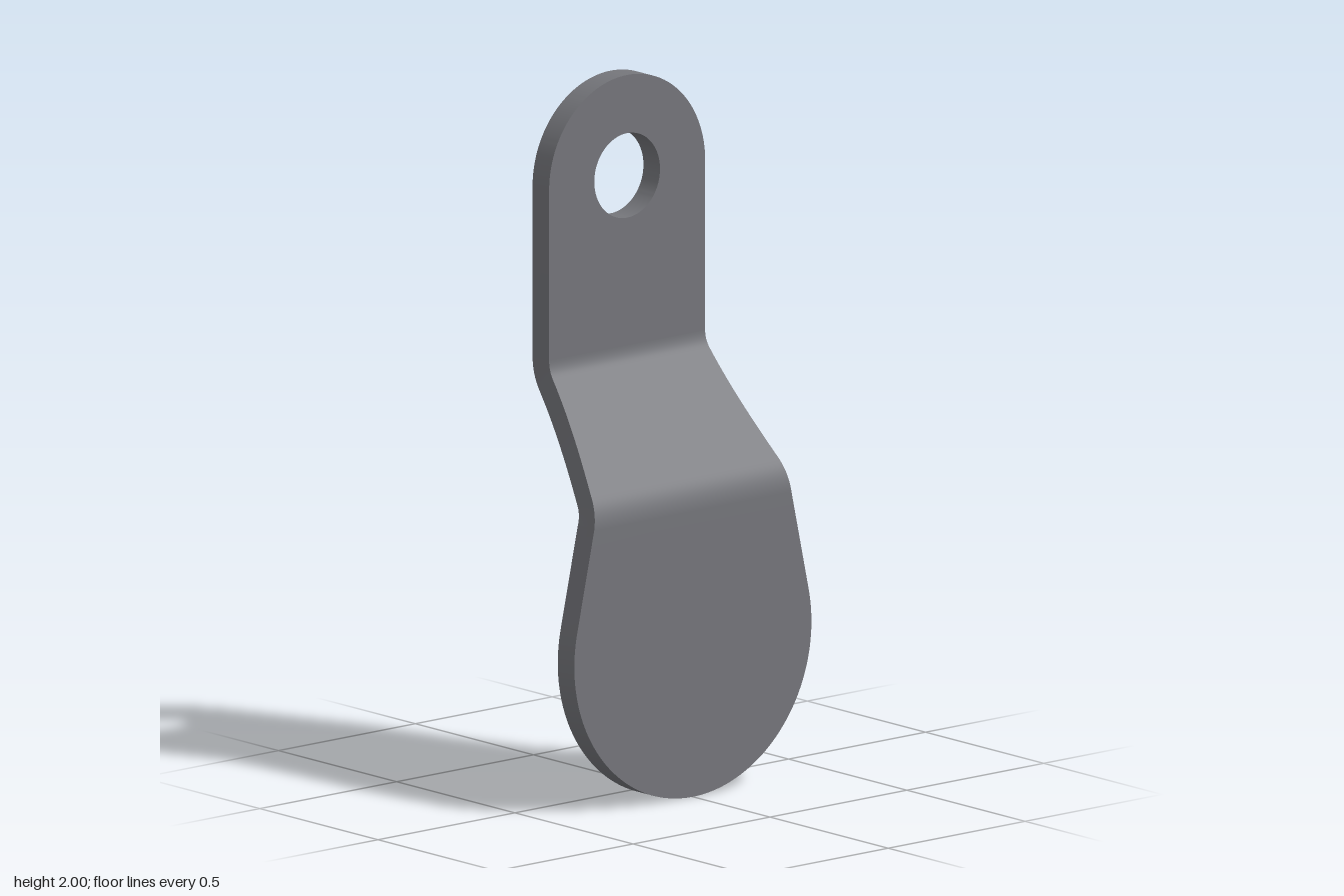
import * as THREE from 'three';
import { toCreasedNormals } from 'three/addons/utils/BufferGeometryUtils.js';

const T = 0.07;             // sheet thickness
const Z = 0.139;            // offset of the two parallel plates
const TOP_W = 0.285, PADDLE_R = 0.433;
const Y_LOW = 0.809, Y_HIGH = 1.232;   // where the bends start and end
const BEND_R = 0.11;
const ANGLE = Math.atan2(2 * Z, 0.345);
const ARC = BEND_R * ANGLE;
const SLANT = 0.365;
const S_END = Y_LOW + 2 * ARC + SLANT;

// half width of the flat blank at length s
function halfWidth(s) {
  const slope = 0.22, a = Math.atan(slope);
  const sT = PADDLE_R * (1 + Math.sin(a)), wT = PADDLE_R * Math.cos(a);
  if (s <= sT) return Math.sqrt(Math.max(0, PADDLE_R ** 2 - (s - PADDLE_R) ** 2));
  const s1 = 0.885, w1 = wT - slope * (s1 - sT);
  if (s <= s1) return wT - slope * (s - sT);
  const L = S_END - s1, t = (s - s1) / L;
  return TOP_W + (w1 - TOP_W) * (2 * t ** 3 - 3 * t ** 2 + 1) - slope * L * (t ** 3 - 2 * t ** 2 + t);
}

// centre line of the bent sheet: position and lean angle at length s
function centreLine(s) {
  if (s <= Y_LOW) return { y: s, z: Z, a: 0 };
  if (s > S_END - ARC) {
    const a = Math.max(0, (S_END - s) / BEND_R);
    return { y: Y_HIGH - BEND_R * Math.sin(a), z: -Z + BEND_R * (1 - Math.cos(a)), a };
  }
  const a = Math.min((s - Y_LOW) / BEND_R, ANGLE);
  const d = Math.max(0, s - Y_LOW - ARC);
  return {
    y: Y_LOW + BEND_R * Math.sin(a) + d * Math.cos(a),
    z: Z - BEND_R * (1 - Math.cos(a)) - d * Math.sin(a), a
  };
}

// four separate strips (front, left, back, right) keep the sheet edges sharp
function bentSheet(stations) {
  const rows = stations.map(s => {
    const { y, z, a } = centreLine(s), w = halfWidth(s);
    const dy = Math.sin(a) * T / 2, dz = Math.cos(a) * T / 2;
    return [[-w, y + dy, z + dz], [w, y + dy, z + dz], [w, y - dy, z - dz], [-w, y - dy, z - dz]];
  });
  const pos = [], index = [];
  for (let k = 0; k < 4; k++) {
    const base = pos.length / 3;
    rows.forEach((r, i) => {
      pos.push(...r[k], ...r[(k + 1) % 4]);
      if (i === 0) return;
      const b = base + 2 * i, a = b - 2;
      index.push(a, a + 1, b + 1, a, b + 1, b);
    });
  }
  const g = new THREE.BufferGeometry();
  g.setAttribute('position', new THREE.Float32BufferAttribute(pos, 3));
  g.setIndex(index);
  g.computeVertexNormals();
  return g;
}

export function createModel() {
  const group = new THREE.Group();
  const steel = new THREE.MeshStandardMaterial({ color: 0x75767b });
  steel.name = 'grey steel';
  const add = (name, geometry) => {
    const m = new THREE.Mesh(geometry, steel);
    m.name = name;
    group.add(m);
    return m;
  };

  // round paddle and the bent neck above it
  const stations = [];
  for (let i = 0; i <= 48; i++) stations.push(PADDLE_R * (1 - Math.cos(i / 48 * 1.78)));
  const span = (a, b, n) => { for (let i = 1; i <= n; i++) stations.push(a + (b - a) * i / n); };
  span(stations[48], Y_LOW, 6);
  span(Y_LOW, Y_LOW + ARC, 10);
  span(Y_LOW + ARC, S_END - ARC, 16);
  span(S_END - ARC, S_END, 10);
  add('paddleAndNeck', bentSheet(stations));

  // upper plate with rounded end and hole
  const cy = 2 - TOP_W;
  const shape = new THREE.Shape();
  shape.moveTo(-TOP_W, Y_HIGH);
  shape.lineTo(TOP_W, Y_HIGH);
  shape.lineTo(TOP_W, cy);
  shape.absarc(0, cy, TOP_W, 0, Math.PI, false);
  const hole = new THREE.Path();
  hole.absarc(0, cy, 0.12, 0, Math.PI * 2, true);
  shape.holes.push(hole);
  const plate = new THREE.ExtrudeGeometry(shape, { depth: T, bevelEnabled: false, curveSegments: 48 });
  add('upperPlate', toCreasedNormals(plate, 0.6)).position.z = -Z - T / 2;

  return group;
}
